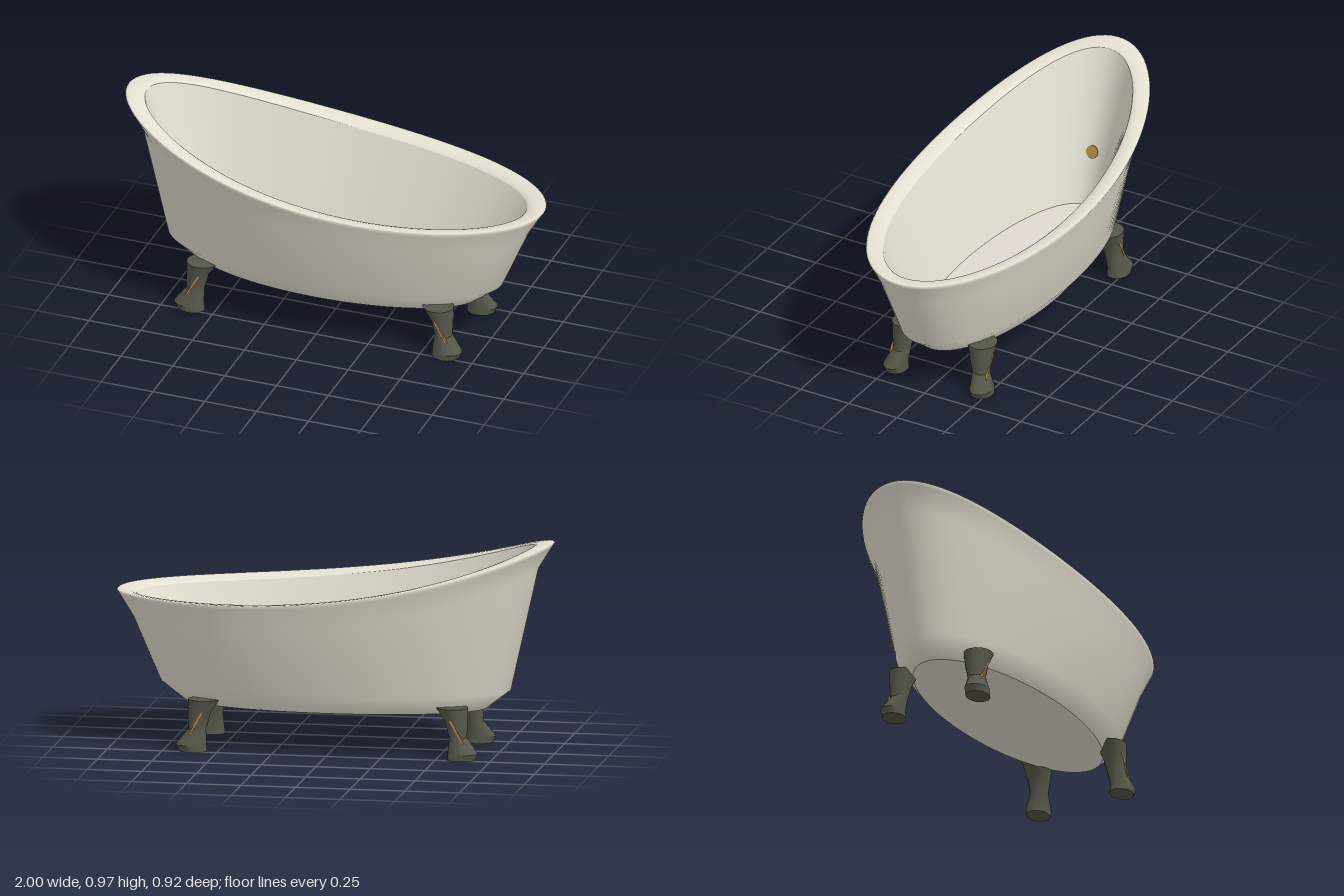
import * as THREE from 'three';
import { toCreasedNormals } from 'three/addons/utils/BufferGeometryUtils.js';

const enamel = new THREE.MeshStandardMaterial({ name: 'enamel', color: 0xe4e0d2 });
const floorGrey = new THREE.MeshStandardMaterial({ name: 'floor enamel', color: 0xe0d9d1 });
const iron = new THREE.MeshStandardMaterial({ name: 'dark iron', color: 0x56574a });
const brass = new THREE.MeshStandardMaterial({ name: 'brass', color: 0xb88a4c });

// Rim height falls from the raised end (c = -1) to the low end (c = 1)
const rimHeight = (c) => 0.7 + 0.27 * Math.pow((1 - c) / 2, 2.8);

// Skin over closed elliptical rings { rx, rz, y(c), cx, cz }
function loft(rings, sides) {
  const pos = [], idx = [];
  for (const { rx, rz, y, cx = 0, cz = 0 } of rings) {
    for (let j = 0; j < sides; j++) {
      const a = (j / sides) * Math.PI * 2, c = Math.cos(a);
      pos.push(cx + rx * c, y(c), cz + rz * Math.sin(a));
    }
  }
  for (let i = 0; i < rings.length - 1; i++) {
    for (let j = 0; j < sides; j++) {
      const a = i * sides + j, b = i * sides + (j + 1) % sides;
      idx.push(a, a + sides, b, b, a + sides, b + sides);
    }
  }
  const g = new THREE.BufferGeometry();
  g.setAttribute('position', new THREE.Float32BufferAttribute(pos, 3));
  g.setIndex(idx);
  g.computeVertexNormals();
  return g;
}

const level = (h) => () => h;
const belowRim = (d) => (c) => rimHeight(c) - d;
const ring = (rx, rz, y) => ({ rx, rz, y });

function add(parent, name, geometry, material) {
  const m = new THREE.Mesh(geometry, material);
  m.name = name;
  parent.add(m);
  return m;
}

// Flat ellipse facing up or down
function ellipse(rx, rz, up) {
  return new THREE.CircleGeometry(1, 96).rotateX(up ? -Math.PI / 2 : Math.PI / 2).scale(rx, 1, rz);
}

function makeFoot(sx, sz) {
  const foot = new THREE.Group();
  // Flared top, narrow ankle, toe pushed outwards; zero-size rings close the ends
  const rows = [
    [0, 0.613, 0.222, 0, 0],
    [0, 0.613, 0.222, 0.065, 0.052],
    [0.03, 0.622, 0.224, 0.07, 0.053],
    [0.1, 0.597, 0.206, 0.041, 0.041],
    [0.175, 0.588, 0.2, 0.052, 0.054],
    [0.235, 0.568, 0.197, 0.073, 0.066],
    [0.235, 0.568, 0.197, 0, 0],
  ];
  const rings = rows.map(([y, cx, cz, rx, rz]) => ({ rx, rz, y: level(y), cx: cx * sx, cz: cz * sz }));
  add(foot, 'claw', toCreasedNormals(loft(rings, 16), 0.55), iron);

  // Slanted brass fillet on the outer face
  const fillet = add(foot, 'fillet', new THREE.BoxGeometry(0.008, 0.12, 0.034), brass);
  fillet.position.set(0.597 * sx, 0.13, 0.235 * sz);
  fillet.rotation.z = 0.52 * sx;
  return foot;
}

export function createModel() {
  const model = new THREE.Group();
  model.name = 'bathtub';

  // Outer wall with the rolled rim
  add(model, 'outerShell', loft([
    ring(0.69, 0.265, level(0.2)),
    ring(0.8, 0.33, level(0.285)),
    ring(0.925, 0.422, belowRim(0.125)),
    ring(0.99, 0.453, belowRim(0.02)),
    ring(1, 0.46, belowRim(0.005)),
    ring(0.993, 0.454, belowRim(0)),
    ring(0.975, 0.438, belowRim(0)),
    ring(0.945, 0.41, belowRim(0.004)),
    ring(0.92, 0.39, belowRim(0.012)),
    ring(0.91, 0.38, belowRim(0.02)),
  ], 96), enamel);

  // Basin wall, base and floor
  add(model, 'innerWall', loft([
    ring(0.91, 0.38, belowRim(0.02)),
    ring(0.685, 0.22, level(0.25)),
  ], 96), enamel);
  add(model, 'base', ellipse(0.69, 0.265, false), enamel).position.y = 0.2;
  add(model, 'floor', ellipse(0.685, 0.22, true), floorGrey).position.y = 0.25;

  // Drain and overflow
  const disc = new THREE.CylinderGeometry(0.03, 0.03, 0.012, 24);
  add(model, 'drain', disc, brass).position.set(0.49, 0.253, 0);
  const overflow = add(model, 'overflow', disc, brass);
  overflow.position.set(-0.76, 0.487, 0);
  overflow.rotation.z = -1.26;

  for (const sx of [1, -1]) {
    for (const sz of [1, -1]) {
      const foot = makeFoot(sx, sz);
      foot.name = (sz > 0 ? 'front' : 'back') + (sx > 0 ? 'Left' : 'Right') + 'Foot';
      model.add(foot);
    }
  }
  return model;
}
